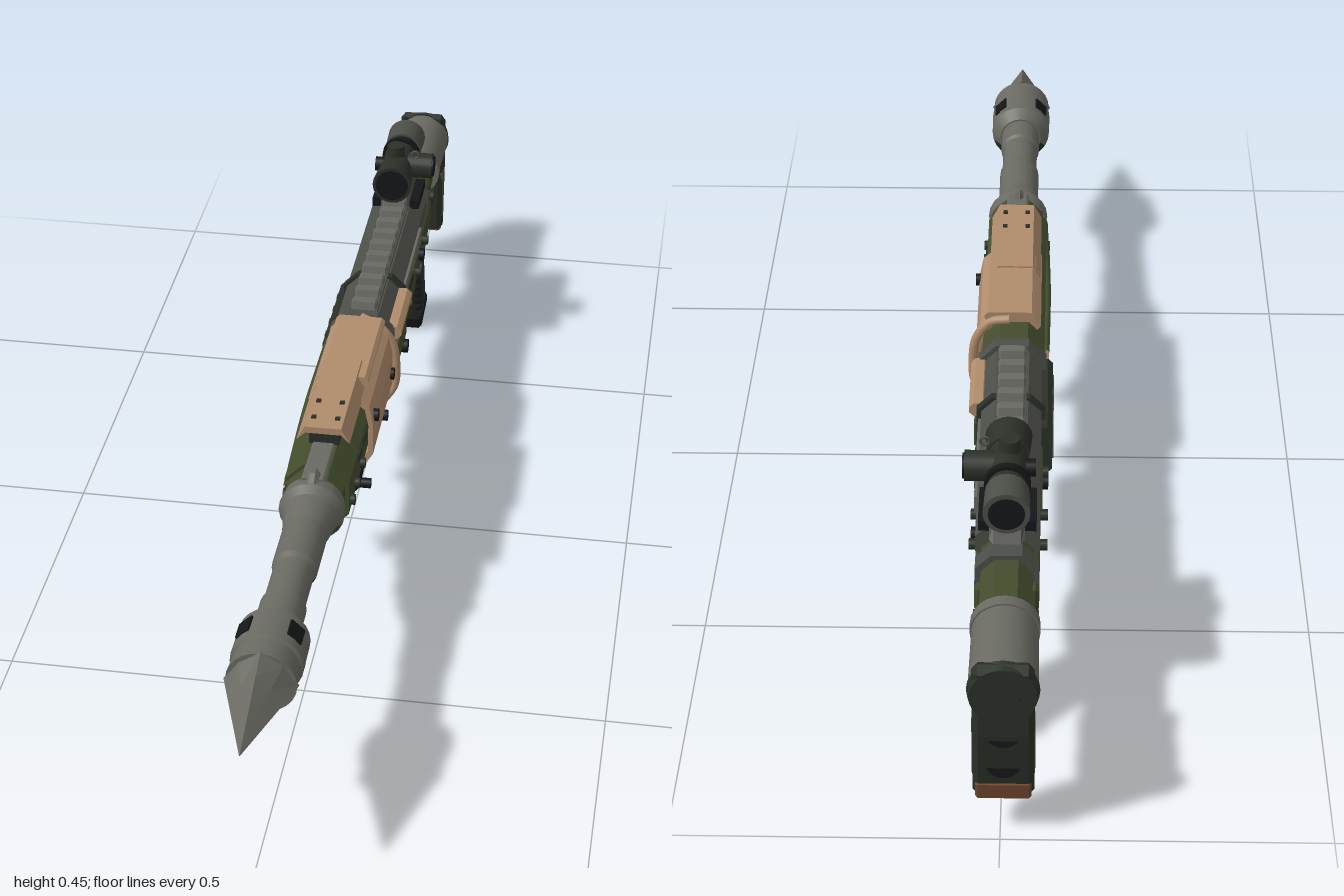
import * as THREE from 'three';

const mat = (name, color) => Object.assign(new THREE.MeshStandardMaterial({ color }), { name });

export function createModel() {
  const root = new THREE.Group();
  root.name = 'rifle';
  const gray = mat('gunmetal gray', 0x6a6a63);
  const steel = mat('dark gray', 0x4c4e48);
  const green = mat('olive green', 0x434d2d);
  const dark = mat('dark olive', 0x2b3028);
  const black = mat('black', 0x141618);
  const tan = mat('tan', 0xb08c6c);
  const brown = mat('rust brown', 0x74482f);
  const CX = -0.005;

  const add = (name, geo, m) => {
    const mesh = new THREE.Mesh(geo, m);
    mesh.name = name;
    root.add(mesh);
    return mesh;
  };
  const flat = g => { const n = g.toNonIndexed(); n.computeVertexNormals(); return n; };
  // gives the downward faces of a two-tone part a second colour
  const twoTone = (mesh, m, limit = -0.4) => {
    const g = mesh.geometry.index ? mesh.geometry.toNonIndexed() : mesh.geometry;
    const n = g.attributes.normal;
    g.clearGroups();
    for (let i = 0; i < n.count; i += 3)
      g.addGroup(i, 3, (n.getY(i) + n.getY(i + 1) + n.getY(i + 2)) / 3 < limit ? 1 : 0);
    mesh.geometry = g;
    mesh.material = [mesh.material, m];
  };
  // box from the ranges of x, y and z
  const box = (name, m, x0, x1, y0, y1, z0, z1) =>
    add(name, new THREE.BoxGeometry(x1 - x0, y1 - y0, z1 - z0).translate((x0 + x1) / 2, (y0 + y1) / 2, (z0 + z1) / 2), m);
  // cylinder along z; r0 at the back, r1 at the front
  const cylZ = (name, m, r0, r1, x, y, z0, z1, n = 20) =>
    add(name, new THREE.CylinderGeometry(r1, r0, z1 - z0, n).rotateX(Math.PI / 2).translate(x, y, (z0 + z1) / 2), m);
  // cylinder across x
  const cylX = (name, m, r, x0, x1, y, z, n = 14) =>
    add(name, new THREE.CylinderGeometry(r, r, x1 - x0, n).rotateZ(Math.PI / 2).translate((x0 + x1) / 2, y, z), m);
  const shapeOf = pts => new THREE.Shape(pts.map(p => new THREE.Vector2(...p)));
  // side outline in (z, y), given a width across x
  const side = (name, m, pts, w, x = CX, bevel = 0.006) => {
    const g = new THREE.ExtrudeGeometry(shapeOf(pts), {
      depth: w - 2 * bevel, bevelEnabled: bevel > 0, bevelSize: bevel, bevelThickness: bevel, bevelOffset: -bevel, bevelSegments: 1 });
    return add(name, g.rotateY(-Math.PI / 2).translate(x + w / 2 - bevel, 0, 0), m);
  };
  // cross-section in (x, y), run along z
  const section = (name, m, pts, z0, z1) =>
    add(name, new THREE.ExtrudeGeometry(shapeOf(pts), { depth: z1 - z0, bevelEnabled: false }).translate(0, 0, z0), m);
  // chamfered rectangle
  const chamfer = (x0, x1, y0, y1, c) => [[x0 + c, y0], [x1 - c, y0], [x1, y0 + c], [x1, y1 - c],
    [x1 - c, y1], [x0 + c, y1], [x0, y1 - c], [x0, y0 + c]];
  const tube = (name, m, pts, r) =>
    add(name, new THREE.TubeGeometry(new THREE.CatmullRomCurve3(pts.map(p => new THREE.Vector3(...p))), 32, r, 8), m);

  // Nose cone: a square point swelling to a rounder base, black below
  const AY = 0.283;
  const nose = new THREE.CylinderGeometry(0.001, 0.058, 0.17, 8, 4);
  const p = nose.attributes.position;
  for (let i = 0; i < p.count; i++) {
    const diagonal = Math.abs(Math.sin(2 * Math.atan2(p.getX(i), p.getZ(i))));
    const t = (p.getY(i) + 0.085) / 0.17;
    const k = 1 - diagonal * (0.16 + 0.13 * Math.min(1, t * 3));
    p.setX(i, p.getX(i) * k);
    p.setZ(i, p.getZ(i) * k);
  }
  twoTone(add('noseCone', flat(nose.rotateX(Math.PI / 2).translate(CX, AY, 0.915)), gray), black, -0.1);

  // Muzzle with ports on the diagonals
  const muzzle = [[0.04, 0.7], [0.056, 0.72], [0.057, 0.787], [0.052, 0.79], [0.055, 0.832]];
  muzzle.slice(1).forEach(([r, z], i) =>
    twoTone(cylZ('muzzle', gray, muzzle[i][0], r, CX, AY, muzzle[i][1], z, 24), dark, -0.3));
  for (let i = 0; i < 4; i++) {
    const a = Math.PI / 4 + i * Math.PI / 2;
    const port = box('muzzlePort', black, -0.003, 0.003, -0.014, 0.014, -0.017, 0.017);
    port.position.set(CX + 0.0555 * Math.cos(a), AY + 0.0555 * Math.sin(a), 0.754);
    port.rotation.z = a;
  }

  // Barrel with steps and a flared collar, green beneath its rear half
  const barrel = [[0.052, 0.36], [0.055, 0.385], [0.046, 0.4], [0.037, 0.45],
    [0.037, 0.545], [0.033, 0.555], [0.033, 0.64], [0.037, 0.645], [0.037, 0.71]];
  barrel.slice(1).forEach(([r, z], i) =>
    twoTone(cylZ('barrel', gray, barrel[i][0], r, CX, AY, barrel[i][1], z), z < 0.55 ? green : dark, -0.25));
  side('frontSightPost', gray, [[0.34, 0.32], [0.4, 0.32], [0.37, 0.35], [0.355, 0.35]], 0.02);

  // Handguard
  twoTone(section('handguard', green, chamfer(-0.06, 0.048, 0.215, 0.335, 0.03), -0.15, 0.33), dark);
  twoTone(section('handguardNose', green, chamfer(-0.052, 0.042, 0.225, 0.33, 0.025), 0.33, 0.37), dark);
  section('handguardTopStrip', gray, chamfer(-0.025, 0.015, 0.325, 0.338, 0.004), 0.26, 0.37);
  for (const z of [0.2, 0.26, 0.31]) for (const s of [-1, 1])
    cylX('handguardBolt', dark, 0.009, CX + s * 0.055 - 0.006, CX + s * 0.055 + 0.006, 0.262, z);
  for (const z of [0.17, 0.22]) box('handguardSlot', dark, 0.044, 0.051, 0.285, 0.3, z - 0.015, z + 0.015);
  tube('sideRod', green, [[-0.06, 0.3, -0.12], [-0.061, 0.3, 0.1], [-0.054, 0.295, 0.34]], 0.007);

  // Tan wrap open on the right side, with brown bottom and top plates
  const wrap = [[-0.052, 0.342], [-0.035, 0.36], [0.025, 0.36], [0.053, 0.335], [0.06, 0.3], [0.06, 0.24], [0.042, 0.211],
    [-0.045, 0.205], [-0.066, 0.225], [-0.066, 0.24]];
  const inner = wrap.map(([x, y]) => [CX + (x - CX) * 0.87, 0.283 + (y - 0.283) * 0.87]).reverse();
  twoTone(section('wrapPanel', tan, [...wrap, ...inner], -0.1, 0.14), brown, -0.8);
  section('wrapTopPlate', tan, [[-0.05, 0.345], [-0.036, 0.372], [0.026, 0.372], [0.04, 0.345], [0.025, 0.36], [-0.035, 0.36]], 0.05, 0.27);
  section('wrapTopPad', tan, chamfer(-0.042, 0.045, 0.352, 0.369, 0.006), -0.1, 0.1);
  twoTone(section('lowerStrap', tan, chamfer(-0.045, 0.035, 0.203, 0.222, 0.006), 0.13, 0.24), brown);
  for (const z of [0.08, 0.25]) box('plateSupport', dark, -0.03, 0.02, 0.33, 0.36, z - 0.012, z + 0.012);
  for (const z of [0.19, 0.24]) for (const x of [-0.025, 0.015]) box('plateScrew', dark, x - 0.004, x + 0.004, 0.37, 0.375, z - 0.004, z + 0.004);
  for (const [z, y] of [[0.115, 0.305], [-0.075, 0.27]]) cylX('wrapSnap', black, 0.011, 0.054, 0.066, y, z);
  tube('cable', tan, [[0.0, 0.362, -0.11], [0.035, 0.35, -0.1], [0.058, 0.32, -0.1], [0.065, 0.28, -0.1], [0.062, 0.23, -0.1], [0.045, 0.205, -0.09]], 0.008);
  section('sidePad', tan, chamfer(0.035, 0.066, 0.29, 0.315, 0.008), -0.3, -0.16);
  box('strapBuckle', brown, -0.05, 0.04, 0.18, 0.21, -0.085, -0.04);
  for (const s of [-1, 1]) cylX('strapKnob', black, 0.01, CX + s * 0.052 - 0.01, CX + s * 0.052 + 0.01, 0.19, -0.06);

  // Folding lever under the handguard
  side('leverMount', black, [[0.1, 0.215], [0.19, 0.215], [0.17, 0.18], [0.11, 0.18]], 0.09);
  cylX('leverPin', black, 0.009, -0.066, 0.056, 0.175, 0.135);
  side('lever', green, [[0.115, 0.185], [0.14, 0.185], [0.155, 0.125], [0.14, 0.115], [0.13, 0.125]], 0.026, -0.008, 0.004);
  cylZ('frontClamp', dark, 0.014, 0.014, CX, 0.202, 0.19, 0.24);

  // Receiver: gray upper, green lower with a dark belly
  section('upperReceiver', steel, chamfer(-0.055, 0.045, 0.26, 0.332, 0.022), -0.66, -0.14);
  twoTone(section('lowerReceiver', green, chamfer(-0.058, 0.05, 0.205, 0.268, 0.012), -0.47, -0.14), dark);
  twoTone(side('rearReceiver', green, [[-0.74, 0.225], [-0.64, 0.195], [-0.46, 0.2], [-0.46, 0.268], [-0.74, 0.268]], 0.1), dark);
  section('receiverFrontRing', steel, chamfer(-0.062, 0.054, 0.21, 0.342, 0.03), -0.165, -0.14);
  section('receiverBand', dark, chamfer(-0.061, 0.053, 0.205, 0.336, 0.025), -0.315, -0.3);
  box('leftCoverPlate', green, 0.046, 0.058, 0.225, 0.268, -0.29, -0.18);
  box('leftUpperPlate', gray, 0.04, 0.05, 0.275, 0.305, -0.55, -0.33);
  box('ejectionPort', dark, 0.044, 0.053, 0.266, 0.284, -0.42, -0.35);
  section('rightSideBox', dark, chamfer(-0.073, -0.045, 0.205, 0.295, 0.008), -0.34, -0.13);
  for (let i = 0; i < 4; i++) box('rightBoxRib', steel, -0.075, -0.07, 0.215, 0.285, -0.312 + i * 0.045, -0.3 + i * 0.045);
  for (const z of [-0.2, -0.38, -0.5, -0.6]) for (const s of [-1, 1])
    cylX('receiverPin', dark, 0.009, CX + s * 0.055 - 0.007, CX + s * 0.055 + 0.007, z < -0.55 ? 0.25 : 0.235, z);
  cylX('selector', black, 0.012, 0.04, 0.055, 0.24, -0.56);

  // Toothed top rail
  box('railBase', steel, -0.03, 0.02, 0.325, 0.338, -0.66, -0.15);
  for (let i = 0; i < 10; i++)
    side('railTooth', gray, [[-0.2 - i * 0.043, 0.336], [-0.172 - i * 0.043, 0.336], [-0.177 - i * 0.043, 0.352], [-0.195 - i * 0.043, 0.352]], 0.046, CX, 0.003);

  // Underslung unit
  section('underUnit', dark, chamfer(-0.05, 0.04, 0.145, 0.205, 0.014), -0.35, -0.13);
  section('underUnitFoot', dark, chamfer(-0.035, 0.025, 0.133, 0.15, 0.005), -0.33, -0.19);
  for (const s of [-1, 1]) {
    box('underUnitRail', steel, CX + s * 0.045 - 0.006, CX + s * 0.045 + 0.006, 0.168, 0.182, -0.34, -0.15);
    cylX('underUnitKnob', black, 0.013, CX + s * 0.053 - 0.009, CX + s * 0.053 + 0.009, 0.175, -0.325);
  }
  cylZ('underUnitLens', black, 0.014, 0.014, CX, 0.175, -0.13, -0.115);
  box('underHook', black, -0.012, 0.002, 0.12, 0.145, -0.18, -0.165);

  // Trigger and guard
  tube('triggerGuard', dark, [[CX, 0.205, -0.43], [CX, 0.15, -0.45], [CX, 0.133, -0.48], [CX, 0.132, -0.55], [CX, 0.14, -0.6], [CX, 0.17, -0.63]], 0.007);
  tube('trigger', black, [[CX, 0.2, -0.52], [CX, 0.175, -0.525], [CX, 0.15, -0.51]], 0.006);

  // Pistol grip
  side('grip', dark, [[-0.615, 0.205], [-0.62, 0.16], [-0.655, 0.08], [-0.675, 0.01], [-0.695, 0], [-0.765, 0.018], [-0.765, 0.035],
    [-0.738, 0.12], [-0.725, 0.19], [-0.725, 0.22]], 0.08, CX, 0.014);
  side('gripCap', black, [[-0.668, 0.025], [-0.673, 0.003], [-0.69, 0], [-0.768, 0.014], [-0.768, 0.034]], 0.084, CX, 0.005);
  for (let i = 0; i < 5; i++) {
    const z = -0.636 - i * 0.0085, y = 0.125 - i * 0.02;
    side('gripRib', black, [[z - 0.045, y - 0.004], [z + 0.001, y + 0.002], [z + 0.001, y + 0.009], [z - 0.045, y + 0.003]], 0.0815, CX, 0.001);
  }
  for (const s of [-1, 1]) cylX('gripMedallion', steel, 0.013, CX + s * 0.038 - 0.004, CX + s * 0.038 + 0.004, 0.145, -0.665);

  // Stock
  twoTone(section('stockTube', green, chamfer(-0.045, 0.035, 0.235, 0.31, 0.022), -0.85, -0.64), dark);
  twoTone(side('stockStrut', green, [[-0.96, 0.19], [-0.87, 0.195], [-0.8, 0.2], [-0.73, 0.225], [-0.7, 0.25], [-0.96, 0.255]], 0.076), dark);
  section('stockBand', steel, chamfer(-0.054, 0.044, 0.23, 0.318, 0.025), -0.72, -0.69);
  cylZ('cheekSleeve', gray, 0.052, 0.05, CX, 0.275, -0.985, -0.835, 24);
  cylZ('sleeveLip', gray, 0.053, 0.053, CX, 0.275, -0.85, -0.83, 24);
  cylZ('buttCrown', dark, 0.05, 0.054, CX, 0.275, -1, -0.982, 24);
  side('buttPlate', dark, [[-0.978, 0.322], [-0.99, 0.328], [-1, 0.315], [-1, 0.2], [-0.985, 0.075], [-0.975, 0.068], [-0.94, 0.085],
    [-0.94, 0.18], [-0.96, 0.24], [-0.978, 0.26]], 0.092, CX, 0.009);
  side('buttToe', brown, [[-0.946, 0.1], [-0.944, 0.08], [-0.976, 0.063], [-0.989, 0.072], [-0.992, 0.1]], 0.084, CX, 0.004);
  for (const [y, z] of [[0.27, -1], [0.205, -0.999], [0.14, -0.992]])
    cylZ('buttRecess', black, 0.026, 0.026, CX, y, z, z + 0.006).rotation.x = 0;
  for (const s of [-1, 1]) {
    box('stockSidePanel', dark, CX + s * 0.036 - 0.004, CX + s * 0.036 + 0.004, 0.205, 0.218, -0.93, -0.8);
    box('buttSidePanel', green, CX + s * 0.044 - 0.003, CX + s * 0.044 + 0.003, 0.11, 0.21, -0.975, -0.953);
    for (const z of [-0.78, -0.87]) cylX('stockPin', dark, 0.01, CX + s * 0.042 - 0.008, CX + s * 0.042 + 0.008, 0.25, z);
  }

  // Optic on its mount
  const SY = 0.405;
  side('opticMount', steel, [[-0.7, 0.325], [-0.56, 0.325], [-0.57, 0.345], [-0.6, 0.38], [-0.66, 0.38], [-0.68, 0.345]], 0.055);
  box('mountClamp', black, -0.05, 0.04, 0.328, 0.346, -0.67, -0.58);
  cylZ('opticBody', dark, 0.03, 0.03, CX, SY, -0.73, -0.53);
  cylZ('opticFrontBell', dark, 0.033, 0.037, CX, SY, -0.575, -0.525);
  cylZ('opticEyepiece', steel, 0.036, 0.034, CX, SY, -0.732, -0.675);
  cylZ('opticRing', black, 0.036, 0.036, CX, SY, -0.66, -0.648);
  cylZ('frontLens', black, 0.031, 0.031, CX, SY, -0.526, -0.523);
  cylZ('rearLens', black, 0.028, 0.028, CX, SY, -0.734, -0.731);
  cylX('opticSideTurret', dark, 0.024, 0.015, 0.062, 0.408, -0.61, 20);
  cylX('turretCap', black, 0.02, 0.06, 0.065, 0.408, -0.61, 20);
  cylX('opticRightKnob', black, 0.014, -0.048, -0.03, SY, -0.61);
  add('opticTopTurret', new THREE.CylinderGeometry(0.016, 0.018, 0.022, 16).translate(CX - 0.003, 0.442, -0.6), dark);
  add('capTether', new THREE.TorusGeometry(0.007, 0.0025, 6, 14).translate(0.031, 0.44, -0.59), steel);

  return root;
}
